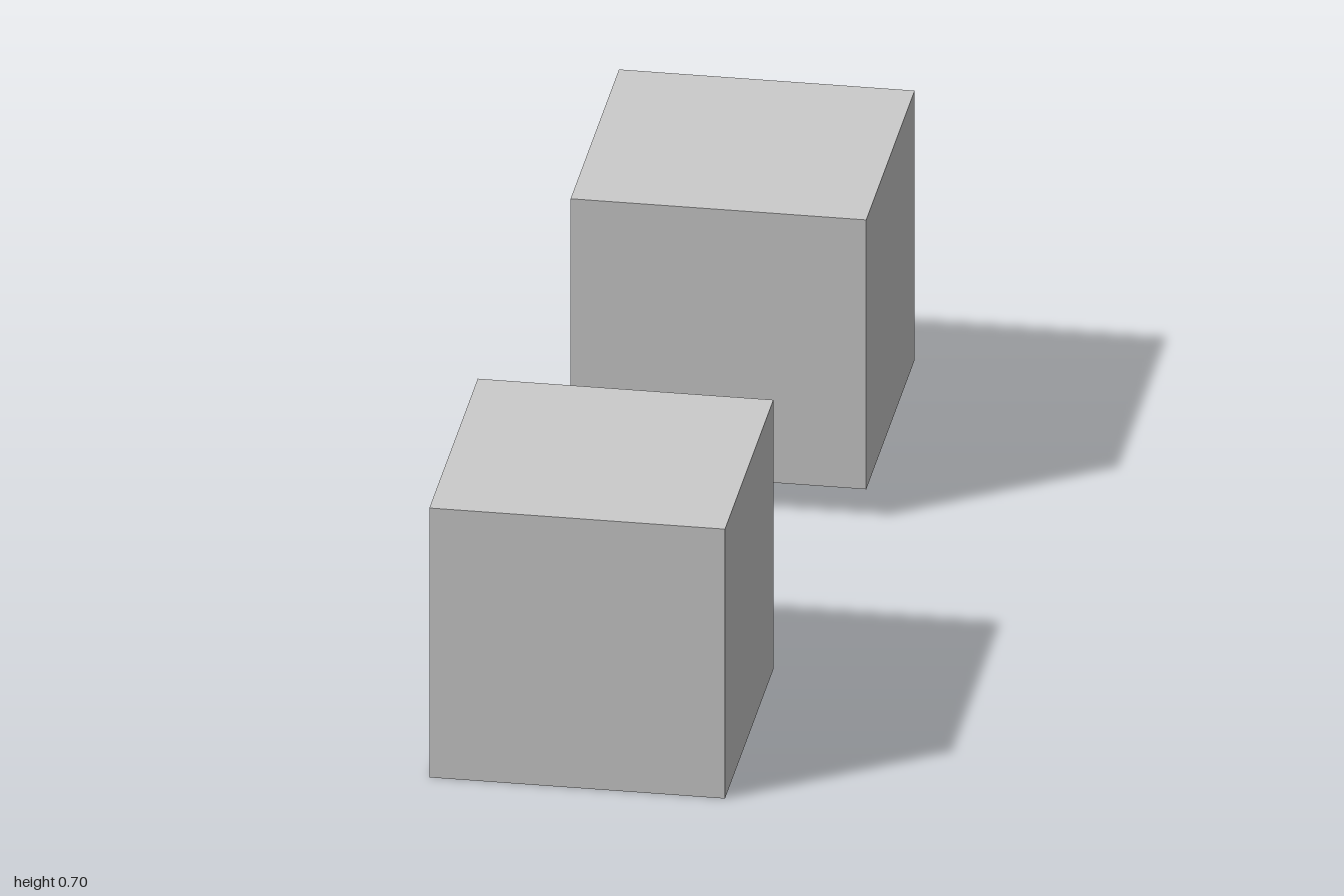
import * as THREE from 'three';

export function createModel() {
  const group = new THREE.Group();
  const material = new THREE.MeshStandardMaterial({ color: 0xcccccc, flatShading: true });
  const size = 0.629;
  const geometry = new THREE.BoxGeometry(size, size, size);

  // Two equal cubes, offset from each other; the back one is slightly raised
  const cubes = [
    ['frontCube', -0.038, size / 2, 1 - size / 2],
    ['backCube', 0.038, 0.07 + size / 2, -1 + size / 2],
  ];
  for (const [name, x, y, z] of cubes) {
    const cube = new THREE.Mesh(geometry, material);
    cube.name = name;
    cube.position.set(x, y, z);
    group.add(cube);
  }
  return group;
}
